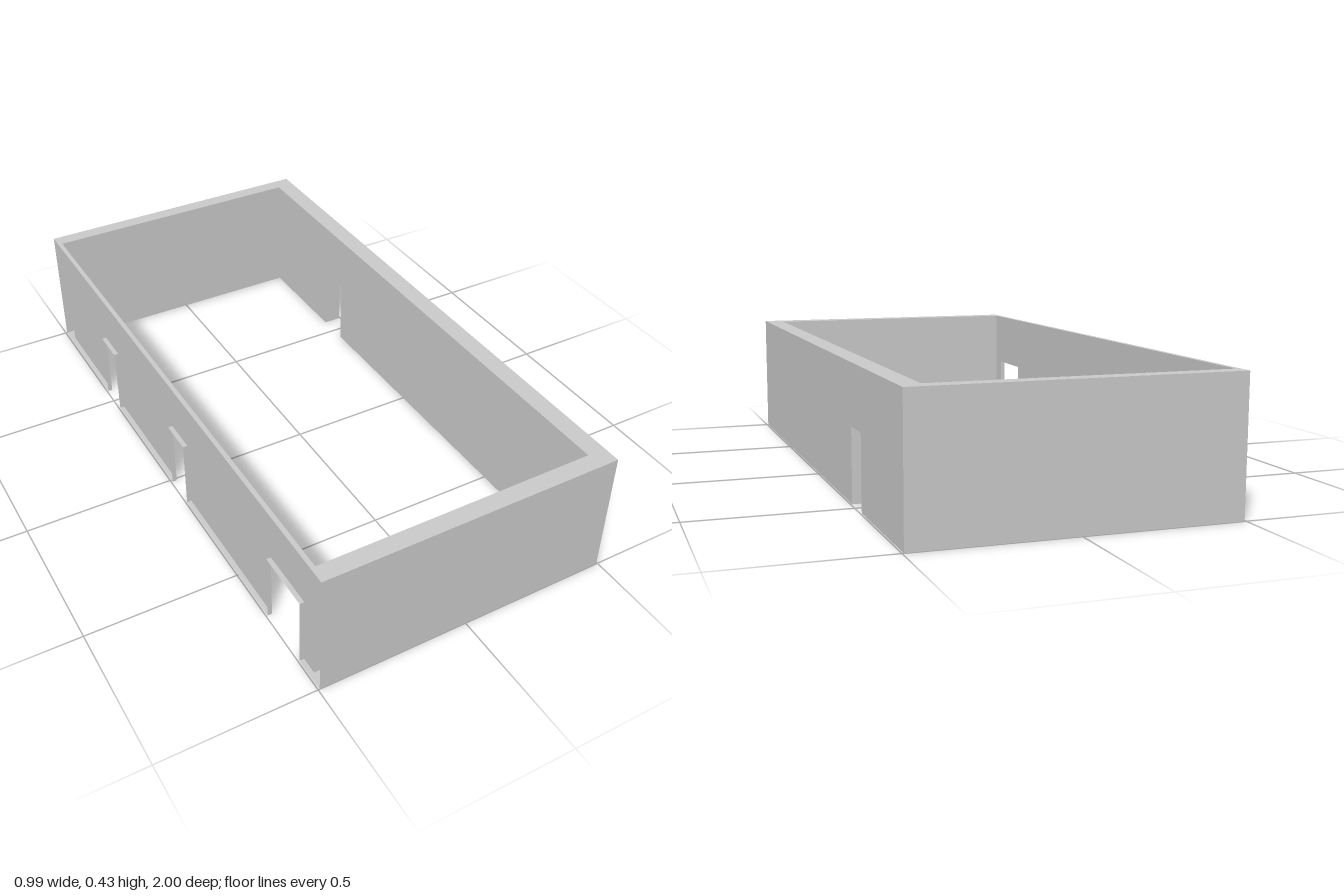
import * as THREE from 'three';

const H = 0.425, DOOR_H = 0.235;
const OUT = { x0: -0.495, x1: 0.495, z0: -1, z1: 1 };
const INN = { x0: -0.48, x1: 0.433, z0: -0.95, z1: 0.942 };
const RIGHT_DOORS = [[-0.565, -0.45]];
const LEFT_DOORS = [[-0.565, -0.45], [0.01, 0.125], [0.69, 0.885]];

const material = new THREE.MeshStandardMaterial({ color: 0xcccccc, side: THREE.DoubleSide });

// Bottom line of a side wall as (z, y) points, stepping up over each doorway
function footLine(z0, z1, doors) {
  const pts = [[z0, 0]];
  for (const [a, b] of doors) pts.push([a, 0], [a, DOOR_H], [b, DOOR_H], [b, 0]);
  pts.push([z1, 0]);
  return pts.map(([z, y]) => new THREE.Vector2(z, y));
}

// Upright sheet in the z-y plane with doorways cut from its foot
function sideSheet(x, z0, z1, doors) {
  const outline = [...footLine(z0, z1, doors), new THREE.Vector2(z1, H), new THREE.Vector2(z0, H)];
  return new THREE.ShapeGeometry(new THREE.Shape(outline)).rotateY(-Math.PI / 2).translate(x, 0, 0);
}

// Sweeps a foot line across the wall thickness: underside, jambs and door heads
function footStrip(x0, x1, pts) {
  const pos = [];
  for (let i = 0; i < pts.length - 1; i++) {
    const p = pts[i], q = pts[i + 1];
    pos.push(x0, p.y, p.x, x1, p.y, p.x, x1, q.y, q.x);
    pos.push(x0, p.y, p.x, x1, q.y, q.x, x0, q.y, q.x);
  }
  const geo = new THREE.BufferGeometry();
  geo.setAttribute('position', new THREE.Float32BufferAttribute(pos, 3));
  geo.computeVertexNormals();
  return geo;
}

// Upright sheet facing along z
function endSheet(x0, x1, z) {
  return new THREE.PlaneGeometry(x1 - x0, H).translate((x0 + x1) / 2, H / 2, z);
}

function rectangle({ x0, x1, z0, z1 }) {
  return [[x0, z0], [x1, z0], [x1, z1], [x0, z1]].map(([x, z]) => new THREE.Vector2(x, -z));
}

export function createModel() {
  const model = new THREE.Group();
  model.name = 'walledEnclosure';
  const add = (name, geo) => {
    const mesh = new THREE.Mesh(geo, material);
    mesh.name = name;
    model.add(mesh);
  };

  // Top rim joining all four walls
  const rim = new THREE.Shape(rectangle(OUT));
  rim.holes.push(new THREE.Path(rectangle(INN)));
  add('topRim', new THREE.ShapeGeometry(rim).rotateX(-Math.PI / 2).translate(0, H, 0));

  // Front and back walls: outer face, inner face and underside
  for (const [name, key] of [['frontWall', 'z1'], ['backWall', 'z0']]) {
    const zo = OUT[key], zi = INN[key];
    add(name + 'Outer', endSheet(OUT.x0, OUT.x1, zo));
    add(name + 'Inner', endSheet(INN.x0, INN.x1, zi));
    add(name + 'Underside', new THREE.PlaneGeometry(OUT.x1 - OUT.x0, Math.abs(zo - zi))
      .rotateX(Math.PI / 2).translate(0, 0, (zo + zi) / 2));
  }

  // Thick side wall with one doorway
  add('leftWallOuter', sideSheet(OUT.x1, OUT.z0, OUT.z1, RIGHT_DOORS));
  add('leftWallInner', sideSheet(INN.x1, INN.z0, INN.z1, RIGHT_DOORS));
  add('leftWallDoorway', footStrip(INN.x1, OUT.x1, footLine(INN.z0, INN.z1, RIGHT_DOORS)));

  // Thin side wall with three doorways, open outside below a top band
  const bandFoot = 0.36;
  add('rightWallInner', sideSheet(INN.x0, INN.z0, INN.z1, LEFT_DOORS));
  add('rightWallDoorways', footStrip(OUT.x0, INN.x0, footLine(INN.z0, INN.z1, LEFT_DOORS)));
  add('rightWallBand', new THREE.PlaneGeometry(OUT.z1 - OUT.z0, H - bandFoot)
    .rotateY(-Math.PI / 2).translate(OUT.x0, (H + bandFoot) / 2, 0));

  return model;
}
